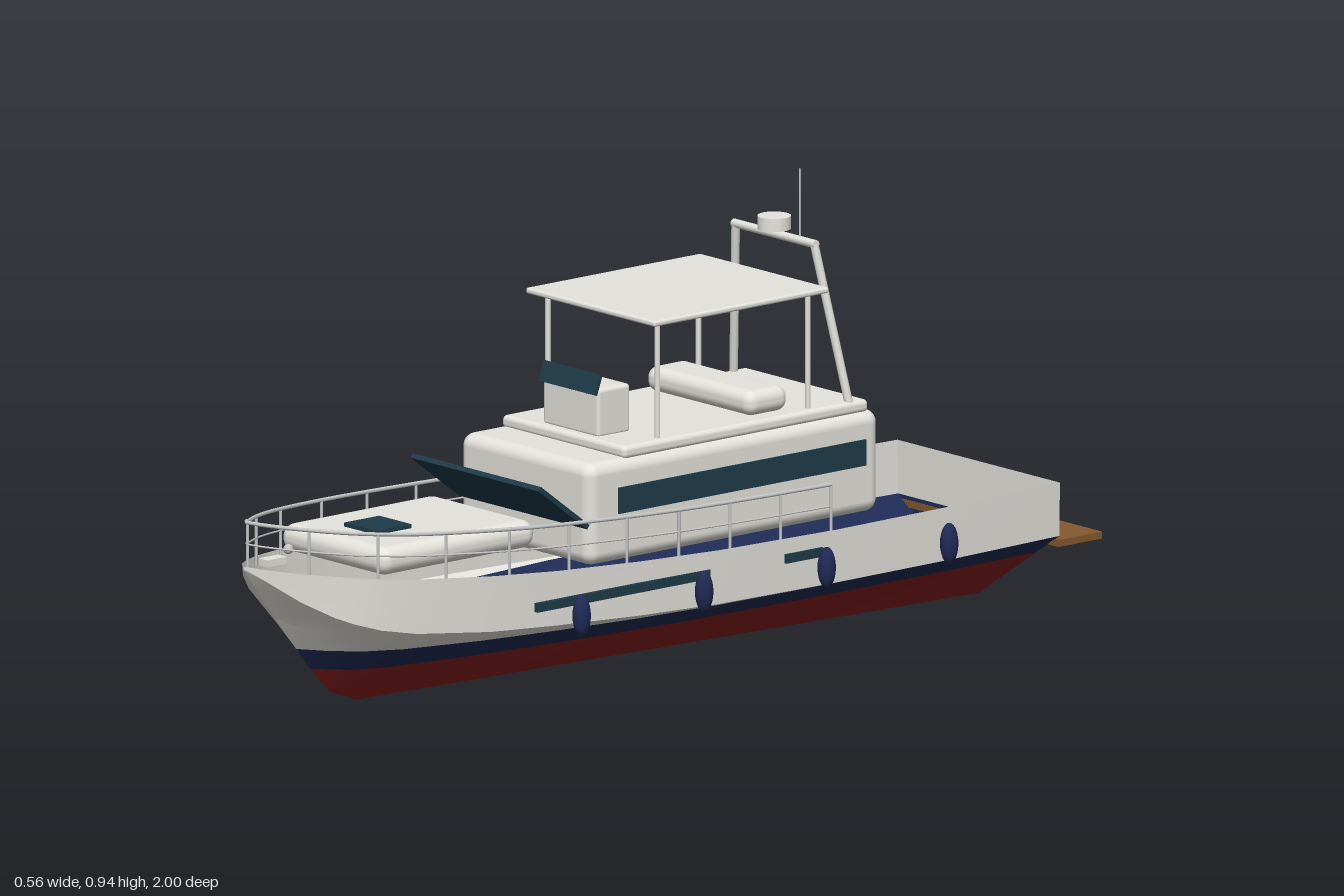
import * as THREE from 'three';
import { RoundedBoxGeometry } from 'three/addons/geometries/RoundedBoxGeometry.js';

const mat = (name, color, side = THREE.FrontSide) => {
  const m = new THREE.MeshStandardMaterial({ color, side });
  m.name = name;
  return m;
};

// Hull stations: z, sheer half-width, sheer y, chine half-width, chine y, keel y
const STATIONS = [
  [-0.89, 0.242, 0.267, 0.240, 0.16, 0.004],
  [-0.6, 0.256, 0.267, 0.254, 0.16, 0.009],
  [-0.3, 0.262, 0.267, 0.260, 0.161, 0.015],
  [0, 0.262, 0.272, 0.260, 0.164, 0.021],
  [0.2, 0.257, 0.279, 0.254, 0.170, 0.025],
  [0.4, 0.243, 0.288, 0.238, 0.178, 0.029],
  [0.55, 0.224, 0.297, 0.216, 0.184, 0.032],
  [0.71, 0.187, 0.308, 0.180, 0.198, 0.035],
  [0.78, 0.163, 0.315, 0.156, 0.211, 0.062],
  [0.83, 0.140, 0.320, 0.134, 0.227, 0.115],
  [0.865, 0.120, 0.325, 0.114, 0.242, 0.16],
  [0.92, 0.083, 0.332, 0.077, 0.275, 0.23],
  [0.97, 0.040, 0.340, 0.036, 0.315, 0.297],
  [1, 0, 0.345, 0, 0.341, 0.337],
];
const RED_TOP = 0.115, NAVY_TOP = 0.16, RAIL_H = 0.087;

// Sheer half-width and height at any z
function sheerAt(z) {
  let i = 0;
  while (i < STATIONS.length - 2 && STATIONS[i + 1][0] < z) i++;
  const a = STATIONS[i], b = STATIONS[i + 1], t = (z - a[0]) / (b[0] - a[0]);
  return [a[1] + (b[1] - a[1]) * t, a[2] + (b[2] - a[2]) * t];
}

// Point on a section at height y
function sectionPoint([z, sw, sy, cw, cy, ky], y, side) {
  y = Math.min(Math.max(y, ky), sy);
  const w = y <= cy ? cw * (y - ky) / (cy - ky) : cw + (sw - cw) * (y - cy) / (sy - cy);
  return [side * w, y, z];
}

// Surface lofted through polylines of equal length
function loft(lines) {
  const n = lines[0].length, index = [];
  for (let i = 0; i < lines.length - 1; i++)
    for (let j = 0; j < n - 1; j++) {
      const a = i * n + j, b = a + n;
      index.push(a, a + 1, b, a + 1, b + 1, b);
    }
  const g = new THREE.BufferGeometry();
  g.setAttribute('position', new THREE.Float32BufferAttribute(lines.flat(2), 3));
  g.setIndex(index);
  g.computeVertexNormals();
  return g;
}

export function createModel() {
  const D = THREE.DoubleSide;
  const white = mat('gelcoat white', 0xe6e4de, D);
  const red = mat('antifouling red', 0x8c2020, D);
  const navy = mat('navy paint', 0x202b56, D);
  const glass = mat('dark glass', 0x1f3b49);
  const steel = mat('rail steel', 0xc6c8c8);
  const wood = mat('teak', 0x85592f);

  const model = new THREE.Group();
  model.name = 'motorBoat';
  const boat = new THREE.Group();
  boat.name = 'boat';
  boat.position.x = -0.017;
  model.add(boat);

  const add = (name, geo, material, x = 0, y = 0, z = 0) => {
    const m = new THREE.Mesh(geo, material);
    m.name = name;
    m.position.set(x, y, z);
    boat.add(m);
    return m;
  };
  const box = (name, material, w, h, d, x, y, z) =>
    add(name, new THREE.BoxGeometry(w, h, d), material, x, y, z);
  const rounded = (name, material, w, h, d, r, y, z) =>
    add(name, new RoundedBoxGeometry(w, h, d, 4, r), material, 0, y, z);
  const rod = (name, material, a, b, r) => {
    const A = new THREE.Vector3(...a), B = new THREE.Vector3(...b), dir = B.clone().sub(A);
    const m = add(name, new THREE.CylinderGeometry(r, r, dir.length(), 10), material);
    m.position.copy(A).add(B).multiplyScalar(0.5);
    m.quaternion.setFromUnitVectors(new THREE.Vector3(0, 1, 0), dir.normalize());
    return m;
  };

  // Open hull shell in painted bands, with transom
  const bands = [
    ['hullBottom', red, () => 0, () => RED_TOP],
    ['bootStripe', navy, () => RED_TOP, () => NAVY_TOP],
    ['lowerTopside', white, () => NAVY_TOP, s => Math.max(s[4], NAVY_TOP)],
    ['topside', white, s => s[4], s => s[2]],
  ];
  for (const [name, material, lo, hi] of bands) {
    const line = (s, side) => [0, 0.5, 1].map(t => sectionPoint(s, lo(s) + (hi(s) - lo(s)) * t, side));
    add(name + 'Left', loft(STATIONS.map(s => line(s, 1))), material);
    add(name + 'Right', loft(STATIONS.map(s => line(s, -1)).reverse()), material);
    add(name + 'Transom', loft([line(STATIONS[0], -1), line(STATIONS[0], 1)]), material);
  }
  box('swimPlatform', wood, 0.48, 0.014, 0.112, 0, 0.145, -0.944);

  // Hull windows
  for (const s of [-1, 1]) {
    box('hullWindowLong', glass, 0.009, 0.018, 0.445, s * 0.26, 0.228, 0.25);
    box('hullWindowShort', glass, 0.009, 0.018, 0.095, s * 0.263, 0.229, -0.213);
  }
  // Fenders along the left side
  for (const z of [0.37, 0.055, -0.26, -0.575])
    add('fender', new THREE.SphereGeometry(1, 16, 12), navy, 0.277, 0.2, z).scale.set(0.017, 0.041, 0.019);

  // Foredeck trunk, hatch and windlass
  rounded('trunkCabin', white, 0.312, 0.056, 0.4, 0.026, 0.343, 0.577);
  box('deckHatch', glass, 0.096, 0.01, 0.09, 0, 0.374, 0.655);
  box('windlassBase', white, 0.026, 0.014, 0.05, 0, 0.345, 0.925);
  add('windlassDrum', new THREE.SphereGeometry(0.01, 12, 8), steel, 0, 0.363, 0.885);

  // Cabin with windows and forward-leaning windscreen
  rounded('cabin', white, 0.39, 0.203, 0.75, 0.025, 0.368, -0.095);
  for (const s of [-1, 1])
    box('sideWindow', glass, 0.008, 0.052, 0.635, s * 0.195, 0.39, -0.112);
  box('aftDoor', glass, 0.34, 0.165, 0.008, 0, 0.355, -0.471);
  box('windscreen', glass, 0.382, 0.01, 0.157, 0, 0.395, 0.341).rotation.x = -0.65;

  // Flybridge deck, console and seat
  rounded('flybridgeDeck', white, 0.367, 0.026, 0.63, 0.01, 0.478, -0.135);
  rounded('helmConsole', white, 0.166, 0.098, 0.084, 0.008, 0.536, 0.118);
  box('helmScreen', glass, 0.168, 0.042, 0.007, 0, 0.594, 0.16).rotation.x = -0.35;
  rounded('helmSeat', white, 0.315, 0.05, 0.105, 0.022, 0.516, -0.217);

  // Hardtop on four posts
  rounded('hardtop', white, 0.385, 0.012, 0.45, 0.005, 0.727, -0.115);
  for (const s of [-1, 1])
    for (const z of [0.077, -0.31])
      rod('hardtopPost', white, [s * 0.163, 0.485, z], [s * 0.163, 0.725, z], 0.0055);

  // Radar arch, radar and aerial
  for (const s of [-1, 1])
    rod('archLeg', white, [s * 0.172, 0.485, -0.408], [s * 0.117, 0.802, -0.366], 0.0085);
  rod('archCrossbar', white, [-0.123, 0.802, -0.366], [0.123, 0.802, -0.366], 0.0085);
  add('radar', new THREE.CylinderGeometry(0.033, 0.033, 0.026, 24), white, 0, 0.826, -0.364);
  rod('aerial', steel, [0.074, 0.8, -0.366], [0.074, 0.945, -0.366], 0.002);

  // Bow rail: two wires around the bow with stanchions
  const railPoint = (z, h, s) => {
    const [w, y] = sheerAt(z);
    return new THREE.Vector3(s * Math.max(w - 0.018, 0), y + h, z);
  };
  const railZ = [-0.3, -0.1, 0.1, 0.3, 0.45, 0.6, 0.72, 0.82, 0.9, 0.95];
  for (const [name, h, r] of [['topRail', RAIL_H, 0.004], ['midRail', RAIL_H * 0.5, 0.002]]) {
    const path = [
      ...railZ.map(z => railPoint(z, h, 1)),
      new THREE.Vector3(0, 0.345 + h, 0.992),
      ...railZ.map(z => railPoint(z, h, -1)).reverse(),
    ];
    add(name, new THREE.TubeGeometry(new THREE.CatmullRomCurve3(path), 100, r, 8), steel);
  }
  for (const z of [-0.3, -0.17, -0.04, 0.09, 0.22, 0.36, 0.5, 0.64, 0.78, 0.9])
    for (const s of [-1, 1])
      rod('stanchion', steel, railPoint(z, -0.01, s).toArray(), railPoint(z, RAIL_H, s).toArray(), 0.003);
  rod('bowStanchion', steel, [0, 0.335, 0.99], [0, 0.345 + RAIL_H, 0.99], 0.003);

  return model;
}
